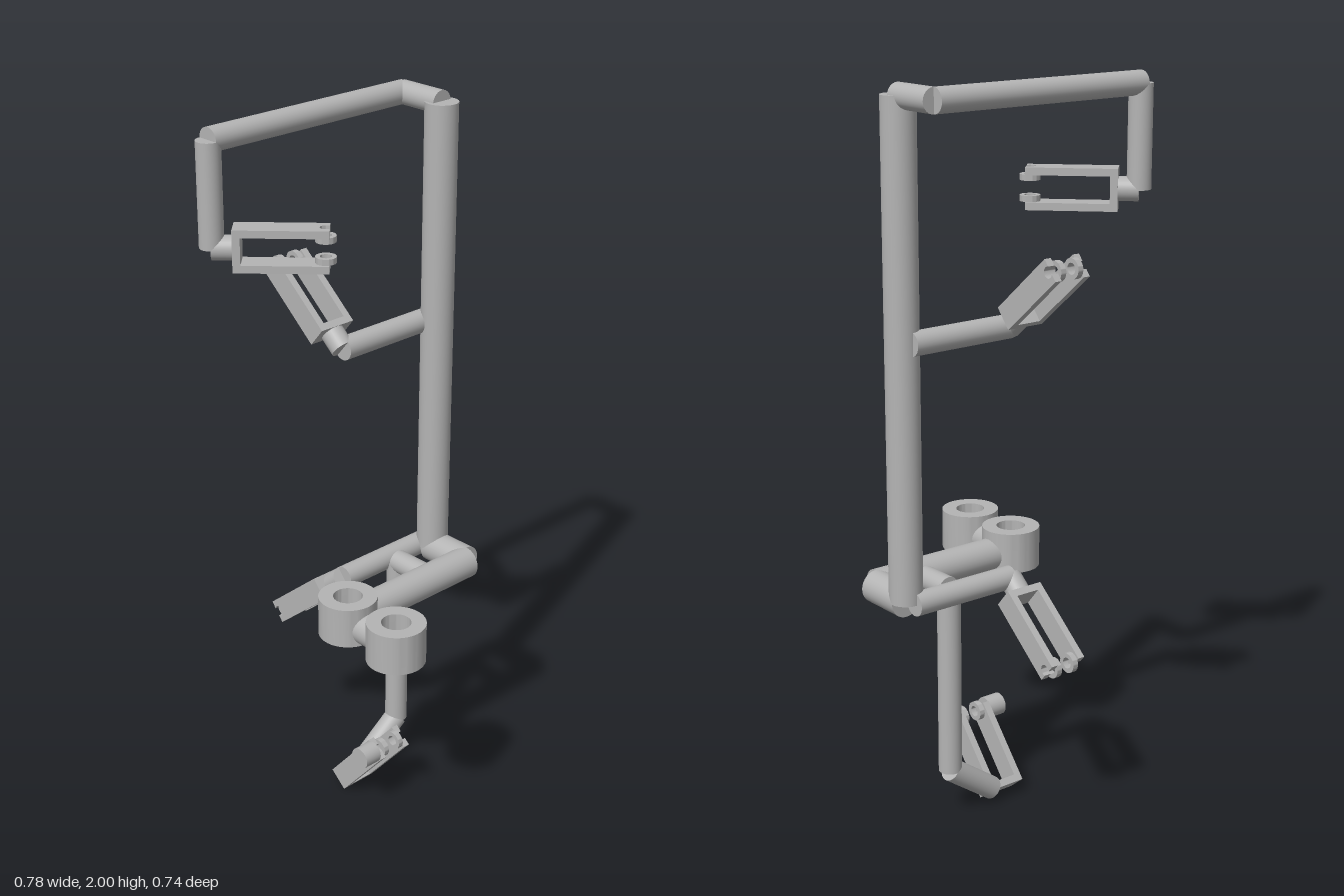
import * as THREE from 'three';
import { toCreasedNormals } from 'three/addons/utils/BufferGeometryUtils.js';

const THIN = 0.032, THICK = 0.045;            // pipe radii
const W = 0.111, D = 0.066, L = 0.24, T = 0.02; // clip width, depth, length, wall
const V = (x, y, z) => new THREE.Vector3(x, y, z);

export function createModel() {
  const root = new THREE.Group();
  const grey = new THREE.MeshStandardMaterial({ color: 0xb4b4b4 });
  grey.name = 'plainGrey';

  const add = (parent, name, geometry) => {
    const mesh = new THREE.Mesh(geometry, grey);
    mesh.name = name;
    parent.add(mesh);
    return mesh;
  };

  // Round bar between two points
  const bar = (name, a, b, r = THIN) => {
    const dir = b.clone().sub(a);
    const mesh = add(root, name, new THREE.CylinderGeometry(r, r, dir.length(), 32));
    mesh.position.copy(a).add(b).multiplyScalar(0.5);
    mesh.quaternion.setFromUnitVectors(V(0, 1, 0), dir.normalize());
    return mesh;
  };

  // Flat ring extruded along local z
  const ringGeometry = (outer, inner, depth) => {
    const s = new THREE.Shape().absarc(0, 0, outer, 0, Math.PI * 2);
    s.holes.push(new THREE.Path().absarc(0, 0, inner, 0, Math.PI * 2, true));
    const g = new THREE.ExtrudeGeometry(s, { depth, bevelEnabled: false, curveSegments: 32 });
    return toCreasedNormals(g.translate(0, 0, -depth / 2), 0.6);
  };

  // Fork clip: local x runs to the tips, z across the two arms
  const clip = (name, base, axis, across) => {
    const g = new THREE.Group();
    g.name = name;
    const y = across.clone().cross(axis);
    g.quaternion.setFromRotationMatrix(new THREE.Matrix4().makeBasis(axis, y, across));
    g.position.copy(base);
    root.add(g);
    add(g, 'clipBase', new THREE.BoxGeometry(T, D, W)).position.x = T / 2;

    // Arm outline with a round notch in its free end
    const cx = L - 0.01, r = 0.015, a = Math.acos(0.01 / r);
    const s = new THREE.Shape();
    s.moveTo(T, -D / 2);
    s.lineTo(L, -D / 2);
    s.lineTo(L, -r * Math.sin(a));
    s.absarc(cx, 0, r, -a, a, true);
    s.lineTo(L, D / 2);
    s.lineTo(T, D / 2);
    s.closePath();
    for (const side of [-1, 1]) {
      const arm = new THREE.ExtrudeGeometry(s, { depth: T, bevelEnabled: false, curveSegments: 16 });
      arm.translate(0, 0, side * (W - T) / 2 - T / 2);
      add(g, 'clipArm', toCreasedNormals(arm, 0.6));
      add(g, 'clipLug', ringGeometry(0.027, r, 0.016))
        .position.set(cx, 0, side * (W / 2 - T - 0.008));
    }
    return g;
  };

  // Plan directions: u along the long bars, v square to them
  const c = Math.cos(Math.PI / 6);
  const u = V(c, 0, -0.5), v = V(0.5, 0, c);
  const tilted = (dir, deg) => {
    const e = THREE.MathUtils.degToRad(deg);
    return dir.clone().multiplyScalar(Math.cos(e)).add(V(0, Math.sin(e), 0));
  };
  const LOW = 0.668, TOP = 1.967;
  const link = (name, from, dir) => {
    const end = from.clone().addScaledVector(dir, 0.053);
    bar(name, from, end.clone().addScaledVector(dir, 0.003));
    return end;
  };

  // Main post
  const post = V(0.279, 0, -0.216);
  const postAt = (y) => V(post.x, y, post.z);
  bar('mainPost', postAt(LOW), postAt(1.97), THICK);

  // Top arm, drop bar and its clip
  const topCorner = postAt(TOP).addScaledVector(v, -0.145);
  const topEnd = topCorner.clone().addScaledVector(u, -0.655);
  const dropEnd = V(topEnd.x, 1.695, topEnd.z);
  bar('topOffset', postAt(TOP), topCorner);
  bar('topArm', topCorner, topEnd);
  bar('topDrop', topEnd, dropEnd);
  const topDir = V(Math.cos(Math.PI / 12), 0, Math.sin(Math.PI / 12));
  clip('topClip', link('topLink', dropEnd, topDir), topDir, V(0, 1, 0));

  // Middle and lower side arms, with clips tilted up and down
  for (const [name, y, tilt] of [['middle', 1.361, 40], ['lower', LOW, -40]]) {
    const end = V(-0.013, y, -0.087);
    bar(name + 'Arm', V(0.26, y, -0.245), end);
    const dir = tilted(v.clone().negate(), tilt);
    clip(name + 'Clip', link(name + 'Link', end, dir), dir, u);
  }

  // Heavy lower arm carrying two rings
  const heavyCorner = postAt(LOW).addScaledVector(v, 0.137);
  const ring1 = V(-0.049, 0.681, 0.13), ring2 = V(0.044, 0.681, 0.291);
  bar('heavyOffset', postAt(LOW), heavyCorner, THICK);
  bar('heavyArm', heavyCorner, heavyCorner.clone().addScaledVector(u, -0.395), THICK);
  const r1 = V(ring1.x, LOW, ring1.z), r2 = V(ring2.x, LOW, ring2.z);
  bar('ringBridge', r1.clone().lerp(r2, 0.35), r1.clone().lerp(r2, 0.65), THICK);
  for (const p of [ring1, ring2]) {
    const ring = add(root, 'holderRing', ringGeometry(0.08, 0.04, 0.113));
    ring.rotation.x = -Math.PI / 2;
    ring.position.copy(p);
  }

  // Lower leg hanging from the heavy arm
  const legTop = V(0.159, LOW, -0.146), legEnd = V(0.159, 0.138, -0.146);
  bar('legOffset', legTop.clone().addScaledVector(v, 0.138), legTop);
  bar('lowerLeg', legTop, legEnd);
  const footBase = V(0.005, 0.022, -0.057);
  const footEnd = footBase.clone().addScaledVector(u, 0.035);
  footEnd.y = 0.036;
  bar('footLink', legEnd, footEnd);

  // Bottom clip with a round knob outside one tip
  const foot = clip('bottomClip', footBase, tilted(v, 50), u);
  const knob = add(foot, 'clipKnob', new THREE.CylinderGeometry(0.031, 0.031, 0.053, 32));
  knob.rotation.x = Math.PI / 2;
  knob.position.set(L - 0.01, 0, -W / 2 - 0.0265);

  return root;
}
